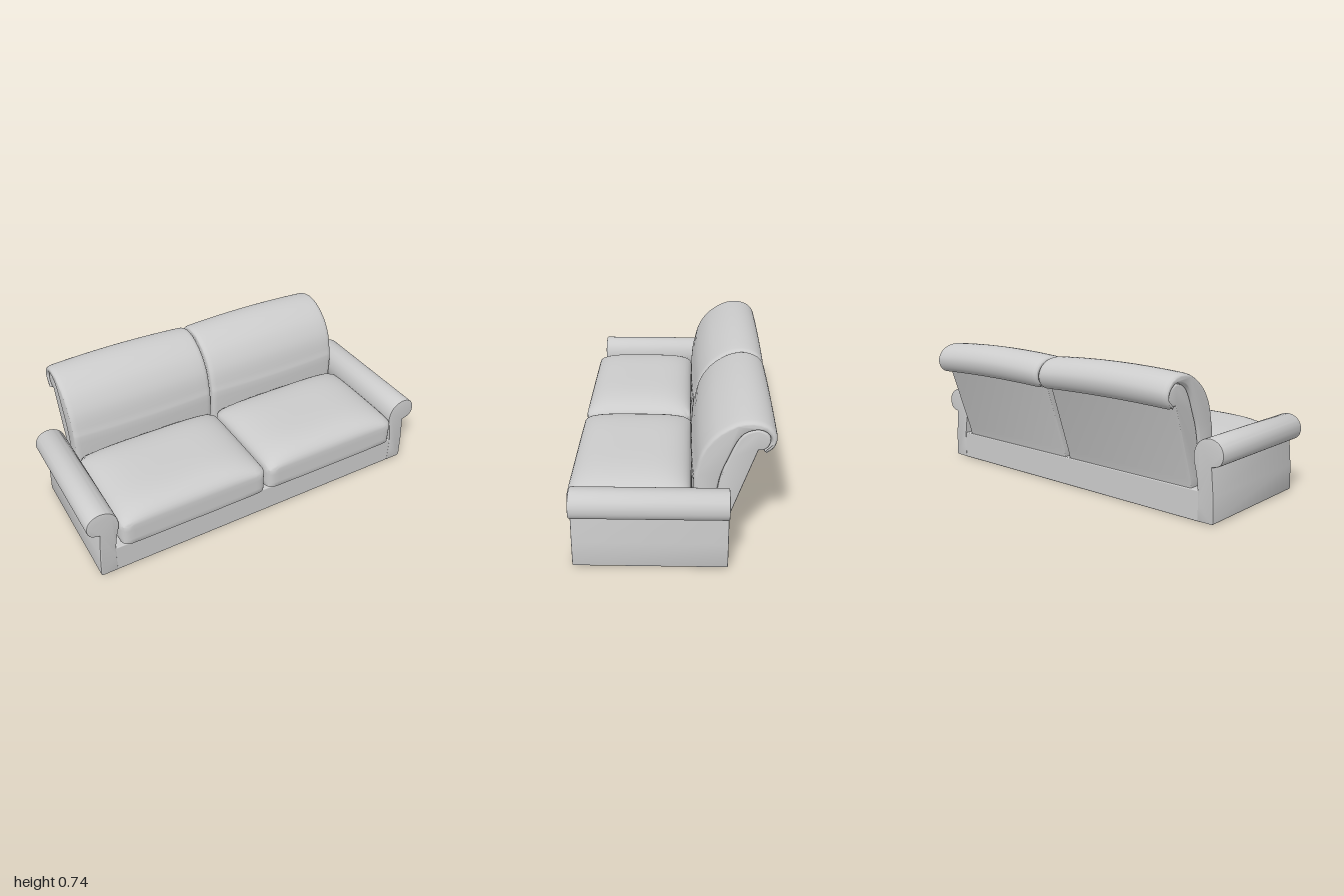
import * as THREE from 'three';
import { toCreasedNormals } from 'three/addons/utils/BufferGeometryUtils.js';
import { RoundedBoxGeometry } from 'three/addons/geometries/RoundedBoxGeometry.js';

const material = new THREE.MeshStandardMaterial({ color: 0xcccccc, roughness: 0.9 });
const clamp = THREE.MathUtils.clamp;

function addMesh(parent, geometry, name) {
  const mesh = new THREE.Mesh(geometry, material);
  mesh.name = name;
  parent.add(mesh);
  return mesh;
}

// Moves every vertex by a rule and rebuilds smooth normals with sharp creases
function reshape(geometry, rule, crease = 0.7) {
  const pos = geometry.attributes.position;
  const p = new THREE.Vector3();
  for (let i = 0; i < pos.count; i++) {
    p.fromBufferAttribute(pos, i);
    rule(p);
    pos.setXYZ(i, p.x, p.y, p.z);
  }
  return toCreasedNormals(geometry, crease);
}

const spline = (pts, n) =>
  new THREE.SplineCurve(pts.map(([a, b]) => new THREE.Vector2(a, b))).getPoints(n);

// Extrudes a (-z, y) side profile across x, centred on x = 0, with rounded ends
function extrudeAcross(points, width, bevelSize, bevelThickness, steps) {
  const depth = width - 2 * bevelThickness;
  const g = new THREE.ExtrudeGeometry(new THREE.Shape(points), {
    depth, steps, bevelEnabled: true, bevelSize, bevelThickness,
    bevelOffset: -bevelSize, bevelSegments: 4,
  });
  return g.translate(0, 0, -depth / 2).rotateY(Math.PI / 2);
}

// Box cushion: rounded plan corners, upright border and crowned top
function seatCushionGeometry() {
  const hx = 0.414, hz = 0.2975, r = 0.045;
  const g = new THREE.BoxGeometry(2, 2, 2, 28, 4, 24);
  return reshape(g, (p) => {
    const u = Math.sin(p.x * Math.PI / 2), v = Math.sin(p.z * Math.PI / 2);
    const px = u * hx, pz = v * hz;
    const cx = clamp(px, r - hx, hx - r), cz = clamp(pz, r - hz, hz - r);
    const dx = px - cx, dz = pz - cz, len = Math.hypot(dx, dz);
    const k = len > 0 ? Math.max(Math.abs(dx), Math.abs(dz)) / len : 1;
    p.x = cx + dx * k;
    p.z = cz + dz * k;
    const crown = Math.sqrt(Math.max(0, (1 - u ** 4) * (1 - v ** 4)));
    if (p.y > 0.999) p.y = 0.3 + 0.088 * crown;
    else if (p.y < -0.999) p.y = 0.185 - 0.03 * crown;
    else p.y = 0.2425 + p.y * 0.0575;
  });
}

// Line shared by the back cushion and the frame it wraps
const innerLine = spline([
  [0.2, 0.15], [0.235, 0.41], [0.28, 0.54], [0.315, 0.62], [0.35, 0.66],
  [0.4, 0.675], [0.44, 0.663], [0.463, 0.63], [0.455, 0.592], [0.432, 0.572],
], 36);

// Back cushion: rolls over the top of the frame and bulges in the middle
function backCushionGeometry() {
  const outer = spline([
    [0.115, 0.15], [0.113, 0.4], [0.122, 0.46], [0.145, 0.55], [0.19, 0.625],
    [0.245, 0.675], [0.305, 0.708], [0.365, 0.72], [0.42, 0.713], [0.465, 0.688],
    [0.49, 0.65], [0.492, 0.615], [0.478, 0.583], [0.455, 0.565], [0.434, 0.564],
  ], 44);
  const g = extrudeAcross([...outer, ...[...innerLine].reverse()], 0.824, 0.013, 0.03, 14);
  return reshape(g, (p) => {
    const k = 1 - (p.x / 0.412) ** 2;
    const front = clamp((p.z + 0.3) / 0.15, 0, 1), top = clamp((p.y - 0.45) / 0.2, 0, 1);
    p.z += 0.014 * k * front;
    p.y += 0.015 * k * top;
  });
}

// Back frame: raked panel with a scrolled top
function backFrameGeometry() {
  const rear = [[0.41, 0.572], [0.285, 0.2], [0.272, 0.15]].map(([a, b]) => new THREE.Vector2(a, b));
  return toCreasedNormals(extrudeAcross([...innerLine, ...rear], 0.806, 0.008, 0.012, 1), 0.7);
}

// Arm: tapered upright ending in an outward scroll, extruded front to back
function armGeometry(side) {
  const s = new THREE.Shape();
  s.moveTo(side * 0.865, 0.002);
  s.lineTo(side * 0.945, 0.002);
  s.quadraticCurveTo(side * 0.956, 0.004, side * 0.956, 0.018);
  s.lineTo(side * 0.951, 0.14);
  s.lineTo(side * 0.938, 0.28);
  s.lineTo(side * 0.955, 0.283);
  const scroll = [
    [0.955, 0.283], [0.982, 0.295], [0.999, 0.325], [0.997, 0.365], [0.975, 0.398],
    [0.935, 0.416], [0.89, 0.41], [0.856, 0.385], [0.838, 0.345], [0.836, 0.3],
    [0.85, 0.24], [0.862, 0.16], [0.865, 0.08],
  ];
  spline(scroll, 48).slice(1).forEach((q) => s.lineTo(side * q.x, q.y));
  const bevel = 0.005;
  const g = new THREE.ExtrudeGeometry(s, {
    depth: 0.742 - 2 * bevel, bevelEnabled: true, bevelSize: bevel,
    bevelThickness: bevel, bevelOffset: -bevel, bevelSegments: 2,
  });
  return toCreasedNormals(g.translate(0, 0, -0.281 + bevel), 0.6);
}

export function createModel() {
  const sofa = new THREE.Group();
  sofa.name = 'sofa';

  // Base platform
  const base = addMesh(sofa, new RoundedBoxGeometry(1.77, 0.155, 0.738, 2, 0.006), 'base');
  base.position.set(0, 0.0775, 0.09);

  // Matching left and right halves
  const seat = seatCushionGeometry();
  const back = backCushionGeometry();
  const frame = backFrameGeometry();
  for (const [side, label] of [[1, 'left'], [-1, 'right']]) {
    addMesh(sofa, armGeometry(side), label + 'Arm');
    addMesh(sofa, seat, label + 'SeatCushion').position.set(side * 0.42, 0, 0.1975);
    addMesh(sofa, back, label + 'BackCushion').position.x = side * 0.418;
    addMesh(sofa, frame, label + 'BackFrame').position.x = side * 0.418;
  }
  return sofa;
}
